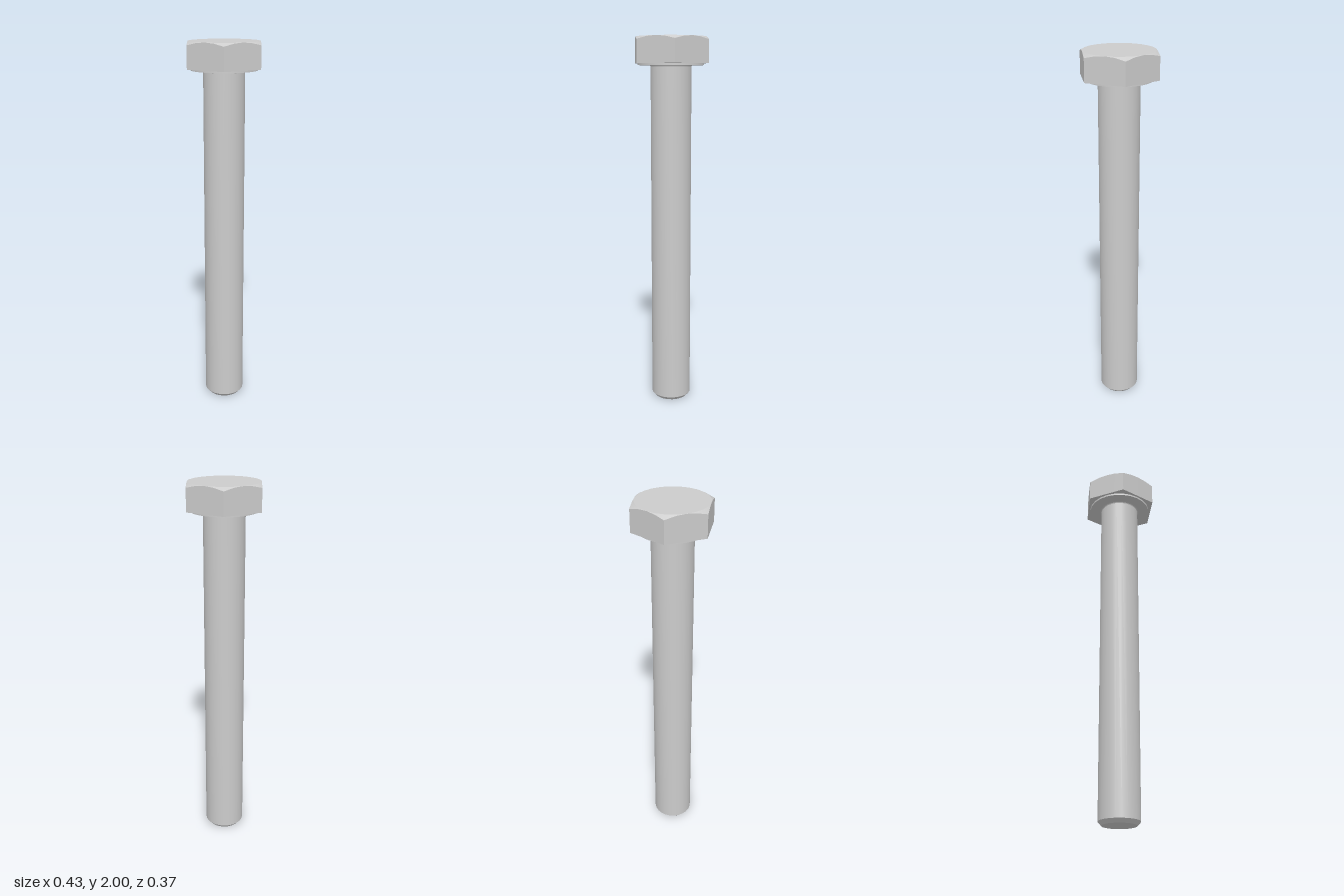
import * as THREE from 'three';
import { toCreasedNormals } from 'three/addons/utils/BufferGeometryUtils.js';

const SEGMENTS = 24;
const TOP = 2, HEAD_BOTTOM = 1.865, COLLAR_BOTTOM = 1.855;
const APOTHEM = 0.185, SHANK_RADIUS = 0.108;
const CREASE = Math.PI / 9;

// Distance from the axis to the hexagon's side; corners lie on +x and -x.
function hexRadius(angle) {
  const sector = Math.PI / 3;
  const local = ((angle % sector) + sector) % sector;
  return APOTHEM / Math.cos(local - sector / 2);
}

// Hexagonal prism whose top corners are cut by a 30 degree cone.
function headGeometry() {
  const rings = [
    () => [0, HEAD_BOTTOM],
    (r) => [r, HEAD_BOTTOM],
    (r) => [r, TOP - (r - APOTHEM) * Math.tan(Math.PI / 6)],
    () => [APOTHEM, TOP],
    () => [0, TOP],
  ];
  const positions = [], indices = [];
  for (const ring of rings) {
    for (let i = 0; i < SEGMENTS; i++) {
      const angle = (i / SEGMENTS) * Math.PI * 2;
      const [radius, y] = ring(hexRadius(angle));
      positions.push(radius * Math.cos(angle), y, radius * Math.sin(angle));
    }
  }
  for (let j = 0; j < rings.length - 1; j++) {
    for (let i = 0; i < SEGMENTS; i++) {
      const next = (i + 1) % SEGMENTS;
      const a = j * SEGMENTS + i, b = j * SEGMENTS + next;
      const c = a + SEGMENTS, d = b + SEGMENTS;
      if (j > 0) indices.push(a, c, b);
      if (j < rings.length - 2) indices.push(b, c, d);
      if (j === 0) indices.push(b, c, d);
    }
  }
  const geometry = new THREE.BufferGeometry();
  geometry.setAttribute('position', new THREE.Float32BufferAttribute(positions, 3));
  geometry.setIndex(indices);
  return toCreasedNormals(geometry, CREASE);
}

function turned(profile) {
  const points = profile.map(([r, y]) => new THREE.Vector2(r, y));
  return toCreasedNormals(new THREE.LatheGeometry(points, SEGMENTS), CREASE);
}

export function createModel() {
  const group = new THREE.Group();
  group.name = 'hexBolt';
  const material = new THREE.MeshStandardMaterial({ color: 0xcccccc });
  const add = (name, geometry) => {
    const mesh = new THREE.Mesh(geometry, material);
    mesh.name = name;
    group.add(mesh);
  };

  add('hexHead', headGeometry());

  // Thin round bearing face under the head
  add('bearingCollar', turned([
    [SHANK_RADIUS, COLLAR_BOTTOM], [0.175, COLLAR_BOTTOM], [0.175, HEAD_BOTTOM],
  ]));

  // Round shank with a chamfered tip and a small fillet under the collar
  add('shank', turned([
    [0, 0], [0.09, 0], [SHANK_RADIUS, 0.02], [SHANK_RADIUS, 1.847],
    [0.11, 1.852], [0.116, COLLAR_BOTTOM],
  ]));

  return group;
}
